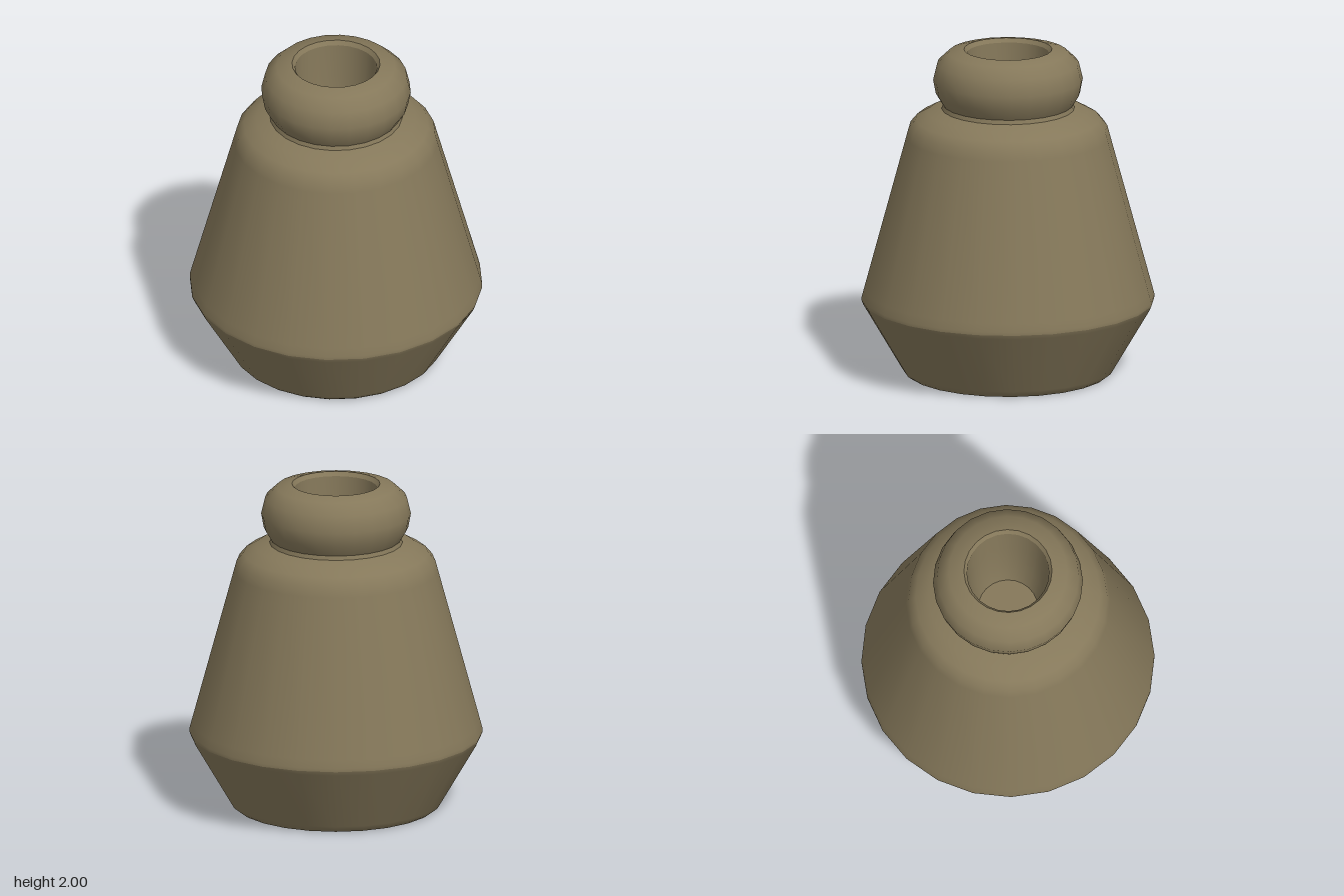
import * as THREE from 'three';

const SIDES = 24;

export function createModel() {
  const group = new THREE.Group();
  group.name = 'jar';
  const clay = new THREE.MeshStandardMaterial({ color: 0x85785a });
  clay.name = 'olive clay';

  // Each part is a turned profile of [radius, height]; separate parts keep their shared edges sharp
  const turn = (name, profile) => {
    const points = profile.map(([r, y]) => new THREE.Vector2(r, y));
    const mesh = new THREE.Mesh(new THREE.LatheGeometry(points, SIDES), clay);
    mesh.name = name;
    group.add(mesh);
  };

  // Flat underside and flared base
  turn('underside', [[0, 0], [0.61, 0]]);
  turn('flaredBase', [[0.61, 0], [0.63, 0.015], [0.645, 0.04], [0.87, 0.425], [0.88, 0.45]]);

  // Tapering body with a rounded shoulder
  turn('body', [
    [0.88, 0.45], [0.88, 0.47], [0.867, 0.52], [0.613, 1.46], [0.597, 1.52],
    [0.555, 1.57], [0.48, 1.612], [0.4, 1.635],
  ]);

  // Short neck between shoulder and lip
  turn('neck', [[0.4, 1.635], [0.392, 1.66]]);

  // Bulging lip
  turn('lip', [
    [0.392, 1.66], [0.434, 1.73], [0.45, 1.815], [0.426, 1.915], [0.357, 1.98], [0.265, 2],
  ]);

  // Bevelled mouth, tapering bore and its floor
  turn('mouthBevel', [[0.265, 2], [0.247, 1.975]]);
  turn('bore', [[0.247, 1.975], [0.235, 1.75], [0.215, 1.5], [0.18, 1.35]]);
  turn('boreFloor', [[0.18, 1.35], [0, 1.35]]);

  return group;
}
